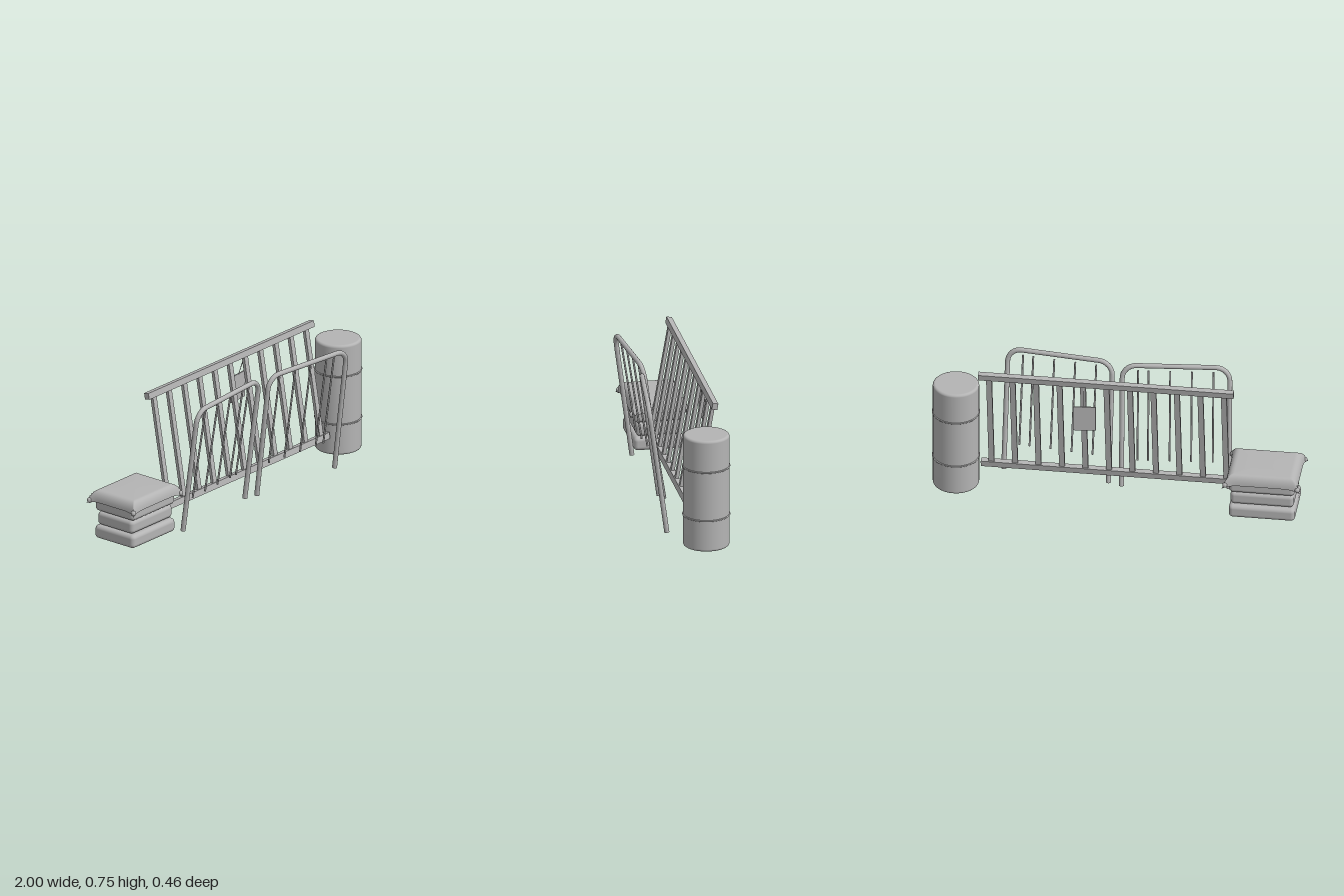
import * as THREE from 'three';
import { RoundedBoxGeometry } from 'three/addons/geometries/RoundedBoxGeometry.js';

const grey = new THREE.MeshStandardMaterial({ color: 0xb4b4b4 });
grey.name = 'plain grey';
const greySheet = grey; // one colour for every part
greySheet.side = THREE.DoubleSide;

function add(parent, name, geometry, x = 0, y = 0, z = 0) {
  const mesh = new THREE.Mesh(geometry, grey);
  mesh.name = name;
  mesh.position.set(x, y, z);
  parent.add(mesh);
  return mesh;
}

// Round bar between two points
function rod(parent, name, a, b, radius) {
  const dir = b.clone().sub(a);
  const mesh = add(parent, name, new THREE.CylinderGeometry(radius, radius, dir.length(), 10));
  mesh.position.copy(a).add(b).multiplyScalar(0.5);
  mesh.quaternion.setFromUnitVectors(new THREE.Vector3(0, 1, 0), dir.normalize());
}

// Drum with rolled rims and two hoops
function makeBarrel() {
  const g = new THREE.Group();
  g.name = 'barrel';
  const r = 0.124, y0 = 0.005, y1 = 0.631, c = 0.014;
  const pts = [new THREE.Vector2(0, y0), new THREE.Vector2(r - c, y0)];
  for (let i = 0; i <= 5; i++) {
    const a = (i / 5) * Math.PI / 2;
    pts.push(new THREE.Vector2(r - c + c * Math.sin(a), y0 + c - c * Math.cos(a)));
  }
  for (let i = 0; i <= 5; i++) {
    const a = (i / 5) * Math.PI / 2;
    pts.push(new THREE.Vector2(r - c + c * Math.cos(a), y1 - c + c * Math.sin(a)));
  }
  pts.push(new THREE.Vector2(0, y1));
  add(g, 'barrelBody', new THREE.LatheGeometry(pts, 48));
  for (const y of [0.18, 0.453]) {
    const hoop = add(g, 'barrelHoop', new THREE.TorusGeometry(r, 0.0045, 8, 48), 0, y, 0);
    hoop.rotation.x = Math.PI / 2;
  }
  g.position.set(0.87, 0, -0.048);
  return g;
}

// Leaning fence panel: two rails and flat slats
function makeFence() {
  const g = new THREE.Group();
  g.name = 'fencePanel';
  const h = 0.622;
  add(g, 'bottomRail', new THREE.BoxGeometry(1.365, 0.035, 0.03), 0.0575, 0, 0);
  add(g, 'topRail', new THREE.BoxGeometry(1.37, 0.035, 0.03), 0.055, h, 0);
  for (let i = 0; i < 11; i++) {
    add(g, 'slat', new THREE.BoxGeometry(0.03, h, 0.018), -0.577 + i * 0.126, h / 2, 0);
  }
  g.position.set(0, 0.12, -0.012);
  g.rotation.x = -0.174;
  return g;
}

// Plate hung by a wire behind the fence
function makeSign() {
  const g = new THREE.Group();
  g.name = 'hangingSign';
  const plate = add(g, 'signPlate', new THREE.BoxGeometry(0.122, 0.147, 0.007), 0.167, 0.536, -0.156);
  plate.rotation.y = 0.09;
  rod(g, 'signWire', new THREE.Vector3(0.175, 0.715, -0.118), new THREE.Vector3(0.17, 0.6, -0.155), 0.002);
  return g;
}

// Bent tube barrier with thin uprights, leaning forward from its feet
function makeBarrier(x, z, yaw) {
  const g = new THREE.Group();
  g.name = 'tubeBarrier';
  const w = 0.573, h = 0.707, c = 0.075, k = 0.022, r = 0.0135;
  const v = (a, b) => new THREE.Vector3(a, b, 0);
  const path = new THREE.CurvePath();
  path.add(new THREE.LineCurve3(v(0, 0), v(0, h - c)));
  path.add(new THREE.CubicBezierCurve3(v(0, h - c), v(0, h - c + c * 0.55), v(c * 0.45, h), v(c, h)));
  path.add(new THREE.LineCurve3(v(c, h), v(w - c, h)));
  path.add(new THREE.CubicBezierCurve3(v(w - c, h), v(w - c * 0.45, h), v(w, h - c + c * 0.55), v(w, h - c)));
  path.add(new THREE.LineCurve3(v(w, h - c), v(w, 0)));

  const lean = new THREE.Group();
  lean.name = 'leaningFrame';
  lean.rotation.x = 0.135;
  add(lean, 'frameTube', new THREE.TubeGeometry(path, 120, r, 14));
  for (const fx of [0, w]) {
    add(lean, 'footCap', new THREE.CircleGeometry(r, 14), fx, 0, 0).rotation.x = Math.PI / 2;
  }
  for (const u of [0.087, 0.202, 0.317, 0.432, 0.488]) {
    rod(lean, 'upright', new THREE.Vector3(u, 0.16, -0.02), new THREE.Vector3(u, 0.682, -0.008), 0.0052);
  }
  g.add(lean);
  g.position.set(x, 0.002, z);
  g.rotation.y = yaw;
  return g;
}

// Stack of bags under a draped cover with pulled corners
function makeBags() {
  const g = new THREE.Group();
  g.name = 'bagStack';
  const layers = [[0.043, 0.355, 0.272], [0.121, 0.34, 0.245], [0.2, 0.352, 0.27]];
  for (const [y, w, d] of layers) {
    add(g, 'bag', new RoundedBoxGeometry(w, 0.075, d, 5, 0.022), 0, y, 0);
  }
  const cover = new THREE.PlaneGeometry(2, 2, 60, 60);
  cover.rotateX(-Math.PI / 2);
  const p = cover.attributes.position;
  for (let i = 0; i < p.count; i++) {
    const u = p.getX(i), v = p.getZ(i);
    const s = Math.max(Math.abs(u), Math.abs(v), 1e-6);
    const t = Math.max(0, (s - 0.8) / 0.2) * Math.PI / 2;
    const out = s < 0.8 ? s : 0.8 + 0.2 * Math.sin(t);
    const corner = Math.pow(Math.abs(u * v), 8);
    const drop = (1 - Math.cos(t)) * (0.055 + 0.015 * corner);
    p.setXYZ(i,
      (u / s) * out * 0.192 + Math.sign(u) * corner * 0.018,
      0.28 - drop - 0.004 * s * s,
      (v / s) * out * 0.152 + Math.sign(v) * corner * 0.014);
  }
  cover.computeVertexNormals();
  add(g, 'cover', cover);
  // Gathered corner knots
  for (const sx of [-1, 1]) for (const sz of [-1, 1]) {
    const knot = add(g, 'coverCorner', new THREE.SphereGeometry(0.014, 12, 8), sx * 0.194, 0.222, sz * 0.152);
    knot.scale.set(1, 1.1, 1);
  }
  g.position.set(-0.79, 0, -0.067);
  return g;
}

export function createModel() {
  const model = new THREE.Group();
  model.name = 'roadblock';
  model.add(
    makeBarrel(),
    makeFence(),
    makeSign(),
    makeBarrier(-0.577, 0.088, 0.087),
    makeBarrier(0.067, 0.06, -0.109),
    makeBags()
  );
  return model;
}
